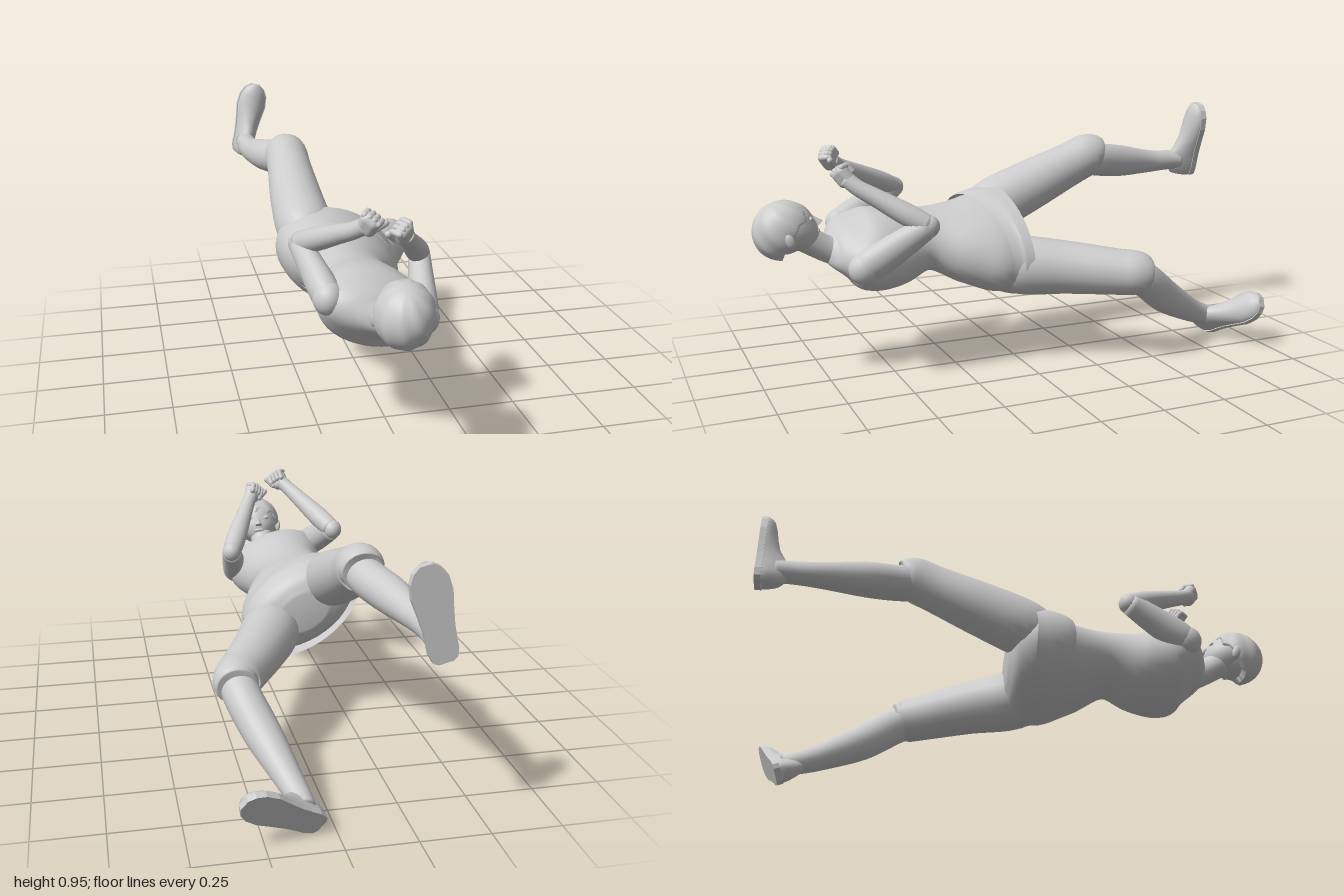
import * as THREE from 'three';
import { RoundedBoxGeometry } from 'three/addons/geometries/RoundedBoxGeometry.js';

const V = (x, y, z) => new THREE.Vector3(x, y, z);
const mat = new THREE.MeshStandardMaterial({ color: 0xcccccc });
const open = new THREE.MeshStandardMaterial({ color: 0xcccccc, side: THREE.DoubleSide });

function mesh(name, geometry, parent, material = mat) {
  const m = new THREE.Mesh(geometry, material);
  m.name = name;
  parent.add(m);
  return m;
}

// Skin a list of closed rings (arrays of Vector3), optionally capping the ends
function skin(rings, capped = true) {
  const n = rings[0].length, pos = [], idx = [];
  rings.forEach(r => r.forEach(p => pos.push(p.x, p.y, p.z)));
  for (let i = 0; i < rings.length - 1; i++) for (let j = 0; j < n; j++) {
    const a = i * n + j, b = i * n + (j + 1) % n;
    idx.push(a, b, b + n, a, b + n, a + n);
  }
  if (capped) [0, rings.length - 1].forEach(i => {
    const c = rings[i].reduce((s, p) => s.add(p), V(0, 0, 0)).divideScalar(n);
    const k = pos.length / 3;
    pos.push(c.x, c.y, c.z);
    for (let j = 0; j < n; j++) {
      const a = i * n + j, b = i * n + (j + 1) % n;
      i ? idx.push(a, b, k) : idx.push(b, a, k);
    }
  });
  const g = new THREE.BufferGeometry();
  g.setAttribute('position', new THREE.Float32BufferAttribute(pos, 3));
  g.setIndex(idx);
  g.computeVertexNormals();
  return g;
}

// Smooth elliptical body through rows of [x, y, z, radiusA, radiusB, roll]
function loft(rows, { n = 24, sub = 5, capped = true } = {}) {
  const path = new THREE.CatmullRomCurve3(rows.map(r => V(r[0], r[1], r[2])), false, 'catmullrom', 0.5);
  const size = new THREE.CatmullRomCurve3(rows.map(r => V(r[3], r[4] ?? r[3], r[5] ?? 0)), false, 'catmullrom', 0.5);
  const rings = [], count = (rows.length - 1) * sub;
  for (let i = 0; i <= count; i++) {
    const c = path.getPoint(i / count), s = size.getPoint(i / count), t = path.getTangent(i / count);
    const u = V(1, 0, 0).addScaledVector(t, -t.x).normalize(), v = t.clone().cross(u);
    u.applyAxisAngle(t, s.z);
    v.applyAxisAngle(t, s.z);
    rings.push(Array.from({ length: n }, (_, j) => {
      const a = j / n * Math.PI * 2;
      return c.clone().addScaledVector(u, s.x * Math.cos(a)).addScaledVector(v, s.y * Math.sin(a));
    }));
  }
  return skin(rings, capped);
}

// Group placed at an origin, with local y and z axes pointing along up and forward
function frame(name, origin, up, forward, parent) {
  const g = new THREE.Group();
  g.name = name;
  const z = forward.clone().normalize();
  const x = up.clone().cross(z).normalize();
  g.quaternion.setFromRotationMatrix(new THREE.Matrix4().makeBasis(x, z.clone().cross(x), z));
  g.position.copy(origin);
  parent.add(g);
  return g;
}

function ball(name, parent, p, s) {
  const m = mesh(name, new THREE.SphereGeometry(1, 20, 14), parent);
  m.position.set(...p);
  m.scale.set(...s);
  return m;
}

// Shoe: flat sole at y = 0, toe along +z, ankle above the origin
function shoe(g) {
  const rows = [[-0.07, 0.022, 0.065], [-0.06, 0.038, 0.1], [-0.03, 0.046, 0.125], [0.01, 0.046, 0.13],
    [0.05, 0.048, 0.105], [0.10, 0.054, 0.078], [0.16, 0.063, 0.064], [0.21, 0.058, 0.056], [0.24, 0.042, 0.048], [0.258, 0.018, 0.035]];
  const rings = rows.map(([z, w, h]) => Array.from({ length: 24 }, (_, j) => {
    const a = j / 24 * Math.PI * 2, s = Math.sin(a);
    return V(w * Math.cos(a) * (s > 0 ? 1 - 0.15 * s : 1), s > 0 ? 0.022 + (h - 0.022) * s : 0.022, z);
  }));
  mesh('shoeUpper', skin(rings), g);
  const outline = new THREE.Shape([...rows.map(([z, w]) => new THREE.Vector2(w + 0.003, -z)),
    ...rows.slice().reverse().map(([z, w]) => new THREE.Vector2(-w - 0.003, -z))]);
  const sole = mesh('shoeSole', new THREE.ExtrudeGeometry(outline, { depth: 0.024, bevelEnabled: false }), g);
  sole.rotation.x = -Math.PI / 2;
}

// Closed hand: knuckles along +y, fingers side by side along x, curling on the -z side
function fist(g, inner) {
  mesh('palm', new RoundedBoxGeometry(0.07, 0.08, 0.05, 4, 0.023), g);
  for (let i = 0; i < 4; i++) {
    const x = (i - 1.5) * 0.018, drop = Math.abs(i - 1.5) * 0.004;
    const knuckle = mesh('finger', new THREE.CapsuleGeometry(0.0115, 0.026, 4, 10), g);
    knuckle.position.set(x, 0.032 - drop, -0.008);
    knuckle.rotation.x = Math.PI / 2 - 0.2;
    const curl = mesh('fingerCurl', new THREE.CapsuleGeometry(0.0115, 0.024, 4, 10), g);
    curl.position.set(x, 0.013 - drop, -0.026);
  }
  const thumb = mesh('thumb', new THREE.CapsuleGeometry(0.012, 0.04, 4, 10), g);
  thumb.position.set(inner * 0.034, 0.0, -0.026);
  thumb.rotation.z = -inner * 0.35;
  thumb.rotation.x = -0.35;
}

function head(parent) {
  const g = frame('head', V(-0.045, 0.578, 0.888), V(0, 0.93, 0.37), V(0.1, 0.36, -0.93), parent);
  // Face tapering to the chin
  const face = new THREE.SphereGeometry(1, 32, 24), p = face.attributes.position;
  for (let i = 0; i < p.count; i++) {
    const y = p.getY(i), k = Math.max(0, -y);
    p.setXYZ(i, p.getX(i) * 0.09 * (1 - 0.3 * k * k), y * 0.1, p.getZ(i) * 0.106 * (1 - 0.2 * k) + 0.045 * k + 0.008);
  }
  face.computeVertexNormals();
  mesh('face', face, g);
  // Hair shell with a jagged fringe, sinking under the face below the hairline
  const hair = new THREE.SphereGeometry(1, 72, 48), q = hair.attributes.position;
  for (let i = 0; i < q.count; i++) {
    const x = q.getX(i), y = q.getY(i), z = q.getZ(i), az = Math.atan2(x, z);
    const line = -0.3 + 0.62 * Math.cos(az) + 0.12 * Math.max(0, Math.cos(az)) * Math.sin(az * 11);
    const s = y > line ? 1 + 0.02 * Math.sin(az * 9 + y * 4) * (1 - y * y) : 0.8;
    q.setXYZ(i, x * 0.1 * s, y * 0.111 * s, (z * 0.114 - 0.002) * s);
  }
  hair.computeVertexNormals();
  mesh('hair', hair, g);
  const nose = mesh('nose', new THREE.ConeGeometry(0.015, 0.045, 12), g);
  nose.position.set(0, -0.008, 0.118);
  nose.rotation.x = -0.35;
  ball('lips', g, [0, -0.05, 0.108], [0.024, 0.008, 0.01]);
  for (const s of [-1, 1]) {
    ball('eye', g, [s * 0.034, 0.008, 0.102], [0.016, 0.009, 0.008]);
    ball('ear', g, [s * 0.096, -0.022, 0.002], [0.011, 0.028, 0.018]).rotation.y = s * 0.3;
  }
}

export function createModel() {
  const root = new THREE.Group();
  root.name = 'figure';

  // Torso, rolled about its long axis
  mesh('torso', loft([
    [-0.07, 0.46, -0.05, 0.1, 0.07, -0.5], [-0.07, 0.46, -0.015, 0.2, 0.13, -0.5], [-0.07, 0.46, 0.07, 0.245, 0.16, -0.5],
    [-0.075, 0.47, 0.18, 0.21, 0.148, -0.46], [-0.085, 0.49, 0.34, 0.145, 0.112, -0.4], [-0.08, 0.472, 0.48, 0.178, 0.142, -0.36],
    [-0.07, 0.475, 0.58, 0.205, 0.14, -0.33], [-0.066, 0.484, 0.65, 0.195, 0.102, -0.32], [-0.06, 0.488, 0.705, 0.12, 0.066, -0.3],
    [-0.055, 0.495, 0.735, 0.045, 0.04, -0.3]], { n: 36 }), root);
  mesh('neck', loft([[-0.06, 0.465, 0.66, 0.06], [-0.055, 0.495, 0.74, 0.05], [-0.05, 0.55, 0.83, 0.052]]), root);
  head(root);

  // Loose flared hem around the hips, slanted toward one side
  const hem = loft([[-0.07, 0.46, 0.012, 0.262, 0.178, -0.5], [-0.07, 0.46, 0.07, 0.256, 0.174, -0.5],
    [-0.06, 0.459, 0.13, 0.237, 0.159, -0.5]], { n: 40, sub: 3, capped: false });
  const h = hem.attributes.position;
  for (let i = 0; i < h.count; i++) h.setZ(i, h.getZ(i) - 0.12 * (h.getX(i) + 0.07));
  hem.computeVertexNormals();
  mesh('jacketHem', hem, root, open);

  // Trouser legs, shins and shoes
  const legs = [
    { thigh: [[-0.17, 0.54, 0.1, 0.07], [-0.19, 0.57, 0.02, 0.108], [-0.195, 0.64, -0.15, 0.104], [-0.19, 0.717, -0.33, 0.09],
      [-0.188, 0.755, -0.42, 0.087], [-0.188, 0.748, -0.46, 0.073]],
      shin: [[-0.19, 0.745, -0.4, 0.07], [-0.205, 0.728, -0.48, 0.069], [-0.245, 0.71, -0.6, 0.067], [-0.283, 0.692, -0.76, 0.05],
        [-0.29, 0.69, -0.86, 0.043], [-0.29, 0.69, -0.93, 0.043]],
      foot: [V(-0.29, 0.69, -1), V(0, 0, 1), V(0.24, 0.97, 0)] },
    { thigh: [[0.02, 0.395, 0.1, 0.07], [0.055, 0.38, 0.0, 0.114], [0.13, 0.37, -0.17, 0.104], [0.222, 0.357, -0.34, 0.091],
      [0.256, 0.353, -0.41, 0.087], [0.258, 0.345, -0.45, 0.072]],
      shin: [[0.253, 0.35, -0.4, 0.068], [0.24, 0.308, -0.47, 0.069], [0.19, 0.217, -0.59, 0.067], [0.135, 0.13, -0.74, 0.05],
        [0.112, 0.095, -0.82, 0.043], [0.108, 0.078, -0.87, 0.043]],
      foot: [V(0.109, 0.056, -0.908), V(0.22, 0.42, 0.86), V(0.82, 0.48, -0.27)] }];
  for (const leg of legs) {
    mesh('trouserLeg', loft(leg.thigh), root);
    mesh('shin', loft(leg.shin), root);
    shoe(frame('foot', ...leg.foot, root));
  }

  // Bent arms with closed fists
  const arms = [
    { shoulder: V(-0.235, 0.545, 0.63), elbow: V(-0.288, 0.662, 0.4), wrist: V(-0.155, 0.782, 0.65), hand: V(-0.115, 0.818, 0.7), inner: 1 },
    { shoulder: V(0.1, 0.44, 0.63), elbow: V(0.148, 0.588, 0.4), wrist: V(0.04, 0.728, 0.63), hand: V(0.01, 0.77, 0.677), inner: -1 }];
  const row = (a, b, t, ra, rb) => [...a.clone().lerp(b, t).toArray(), ra, rb];
  for (const { shoulder, elbow, wrist, hand, inner } of arms) {
    ball('shoulder', root, shoulder.toArray(), [0.054, 0.06, 0.062]);
    mesh('upperArm', loft([row(shoulder, elbow, -0.1, 0.044, 0.05), row(shoulder, elbow, 0.15, 0.052, 0.062),
      row(shoulder, elbow, 0.6, 0.045, 0.055), row(shoulder, elbow, 1, 0.039, 0.042)]), root);
    ball('elbow', root, elbow.toArray(), [0.039, 0.041, 0.041]);
    mesh('forearm', loft([row(elbow, wrist, 0, 0.039), row(elbow, wrist, 0.3, 0.042),
      row(elbow, wrist, 0.75, 0.034), row(elbow, wrist, 1, 0.03), row(wrist, hand, 0.8, 0.029)]), root);
    fist(frame('hand', hand, V(inner * 0.3, 0.8, 0.5), V(-inner * 0.65, -0.3, 0.7), root), inner);
  }
  return root;
}
